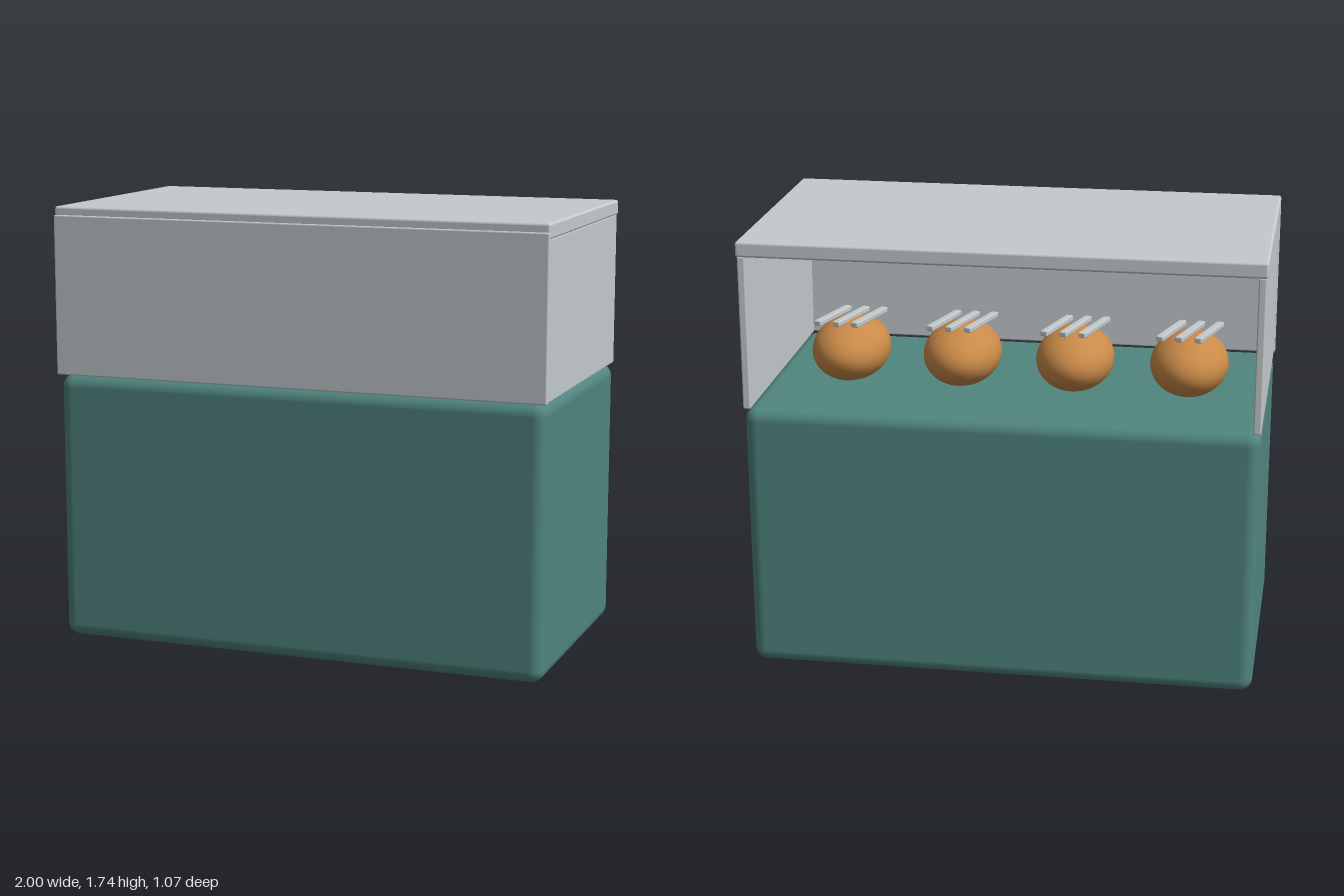
import * as THREE from 'three';
import { RoundedBoxGeometry } from 'three/addons/geometries/RoundedBoxGeometry.js';

const material = (name, color) => {
  const m = new THREE.MeshStandardMaterial({ color });
  m.name = name;
  return m;
};

export function createModel() {
  const teal = material('teal cabinet', 0x50857f);
  const pale = material('pale grey panel', 0xc4cacd);
  const crust = material('golden crust', 0xc98a48);

  const model = new THREE.Group();
  model.name = 'displayCounter';

  // Rounded block given by its size and centre
  const block = (name, mat, [w, h, d], [x, y, z], radius, parent = model) => {
    const mesh = new THREE.Mesh(new RoundedBoxGeometry(w, h, d, 4, radius), mat);
    mesh.name = name;
    mesh.position.set(x, y, z);
    parent.add(mesh);
    return mesh;
  };

  // Counter body
  block('counterBody', teal, [1.99, 1.07, 1.06], [0, 0.535, -0.003], 0.05);

  // Display case, open at the back
  block('caseRoof', pale, [2, 0.06, 1.06], [0, 1.705, -0.005], 0.01);
  block('frontPanel', pale, [2, 0.632, 0.03], [0, 1.386, 0.52], 0.006);
  for (const side of [-1, 1]) {
    block(side > 0 ? 'leftPanel' : 'rightPanel', pale,
      [0.03, 0.607, 1.03], [side * 0.98, 1.3735, -0.015], 0.006);
  }

  // Row of loaves, each with three slanted strips on top
  const loafGeometry = new THREE.SphereGeometry(1, 32, 20);
  for (let i = 0; i < 4; i++) {
    const loaf = new THREE.Group();
    loaf.name = 'loaf' + (i + 1);
    loaf.position.set((i - 1.5) * 0.455, 1.172, 0);
    const body = new THREE.Mesh(loafGeometry, crust);
    body.name = 'loafBody';
    body.scale.set(0.155, 0.125, 0.22);
    loaf.add(body);
    for (const k of [-1, 0, 1]) {
      const strip = block('loafStrip', pale, [0.03, 0.022, 0.25], [k * 0.075, 0.128, 0], 0.005, loaf);
      strip.rotation.y = -0.3;
    }
    model.add(loaf);
  }
  return model;
}
